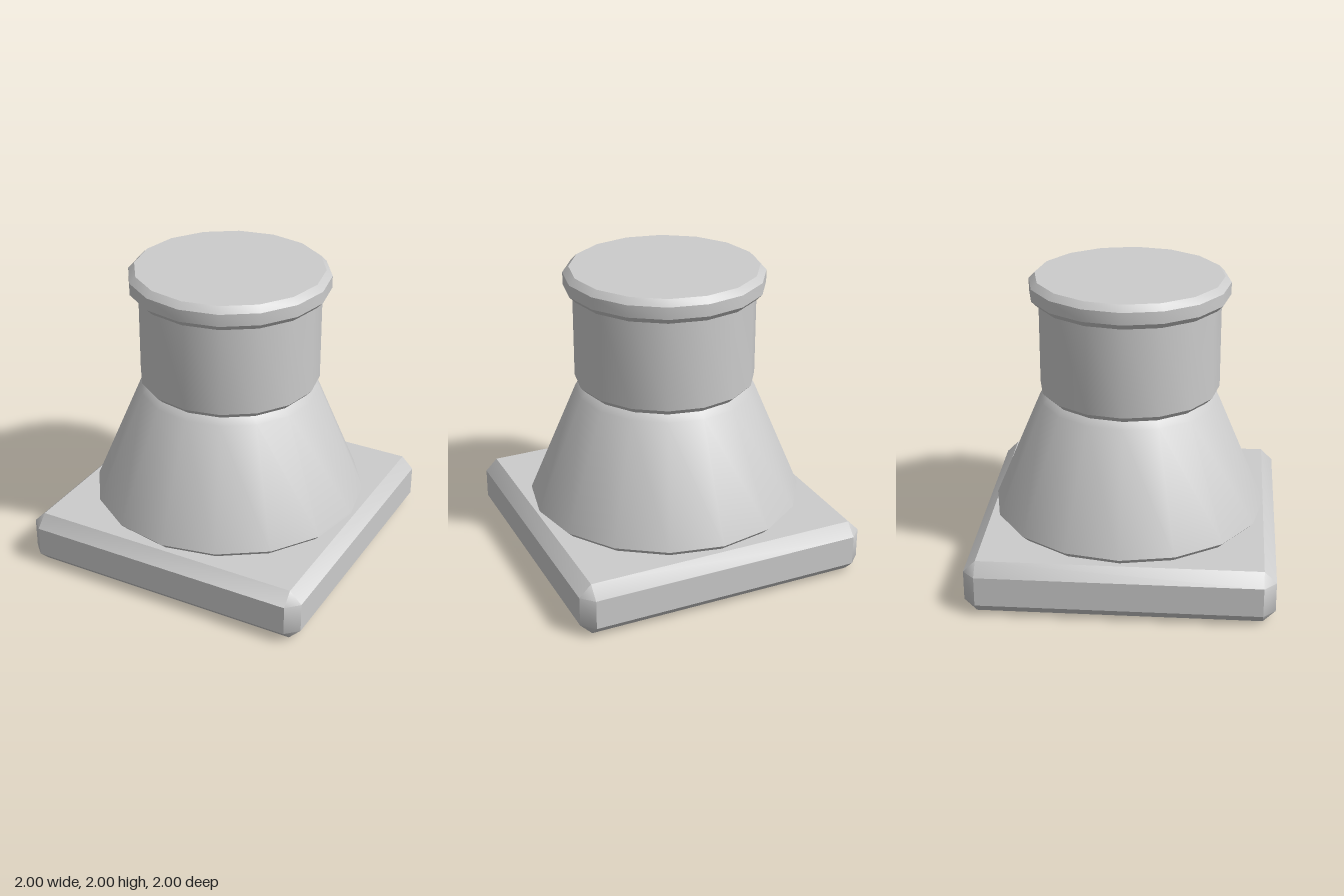
import * as THREE from 'three';
import { toCreasedNormals } from 'three/addons/utils/BufferGeometryUtils.js';
import { ConvexGeometry } from 'three/addons/geometries/ConvexGeometry.js';

const CREASE = 0.65; // only edges sharper than about 37 degrees stay hard
const SIDES = 16;

// Box with every edge cut at 45 degrees, standing on y = 0
function chamferedBox(w, h, d, c) {
  const points = [];
  for (const sx of [-1, 1]) for (const sy of [-1, 1]) for (const sz of [-1, 1]) {
    for (const [cx, cy, cz] of [[0, c, c], [c, 0, c], [c, c, 0]]) {
      points.push(new THREE.Vector3(
        sx * (w / 2 - cx), h / 2 + sy * (h / 2 - cy), sz * (d / 2 - cz)));
    }
  }
  return new ConvexGeometry(points);
}

// Round section with bevelled rims: r0 at the bottom, r1 at the top
function bevelledDrum(y0, y1, r0, r1, c) {
  const profile = [[0, y0], [r0 - c, y0], [r0, y0 + c], [r1, y1 - c], [r1 - c, y1], [0, y1]];
  return new THREE.LatheGeometry(profile.map(([r, y]) => new THREE.Vector2(r, y)), SIDES);
}

export function createModel() {
  const group = new THREE.Group();
  group.name = 'pedestal';
  const material = new THREE.MeshStandardMaterial({ color: 0xcccccc });

  const add = (name, geometry) => {
    const mesh = new THREE.Mesh(toCreasedNormals(geometry, CREASE), material);
    mesh.name = name;
    group.add(mesh);
  };

  add('basePlate', chamferedBox(2, 0.36, 2, 0.08));
  add('taperedFoot', bevelledDrum(0.36, 1.2, 0.92, 0.6, 0.04));
  add('neck', bevelledDrum(1.2, 1.9, 0.6, 0.6, 0.04));
  add('topCap', bevelledDrum(1.84, 2, 0.66, 0.66, 0.04));

  return group;
}
